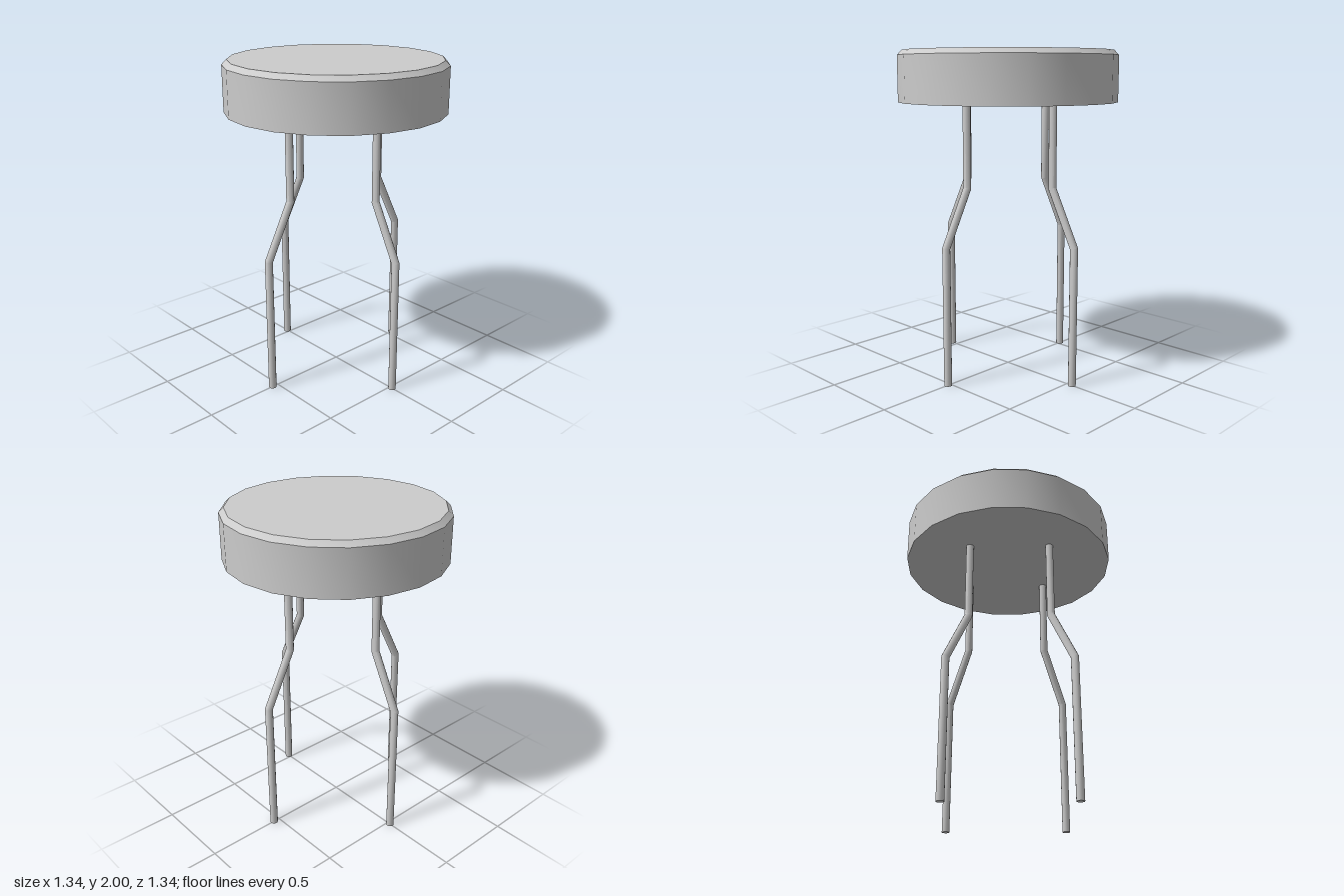
import * as THREE from 'three';
import { toCreasedNormals } from 'three/addons/utils/BufferGeometryUtils.js';

const material = new THREE.MeshStandardMaterial({ color: 0xcccccc });

// Round seat with a small chamfer around the top
function makeSeat() {
  const profile = [[0, 1.69], [0.67, 1.69], [0.67, 1.97], [0.64, 2], [0, 2]]
    .map(([r, y]) => new THREE.Vector2(r, y));
  const seat = new THREE.Mesh(toCreasedNormals(new THREE.LatheGeometry(profile, 20), 0.5), material);
  seat.name = 'seat';
  return seat;
}

// Thin rod leg bent outwards along +z, with mitred joints
function makeLeg(topOffset) {
  const footOffset = topOffset + 0.173;
  const tilt = Math.tan(Math.atan2(0.173, 0.34) / 2);
  // Rings from top to bottom: height, offset from the axis, mitre slope
  const rings = [
    [1.69, topOffset, 0],
    [1.19, topOffset, tilt],
    [0.85, footOffset, tilt],
    [0, footOffset, 0],
  ];
  const geometry = new THREE.CylinderGeometry(0.024, 0.024, 3, 12, 3);
  const p = geometry.attributes.position;
  for (let i = 0; i < p.count; i++) {
    const [y, offset, slope] = rings[Math.round(1.5 - p.getY(i))];
    const z = p.getZ(i);
    p.setY(i, y + z * slope);
    p.setZ(i, z + offset);
  }
  return new THREE.Mesh(toCreasedNormals(geometry, 0.6), material);
}

export function createModel() {
  const stool = new THREE.Group();
  stool.name = 'stool';
  stool.add(makeSeat());

  // Four legs, the front and back pair set slightly wider
  ['frontLeg', 'leftLeg', 'backLeg', 'rightLeg'].forEach((name, i) => {
    const leg = makeLeg(i % 2 ? 0.347 : 0.367);
    leg.name = name;
    leg.rotation.y = i * Math.PI / 2;
    stool.add(leg);
  });
  return stool;
}
